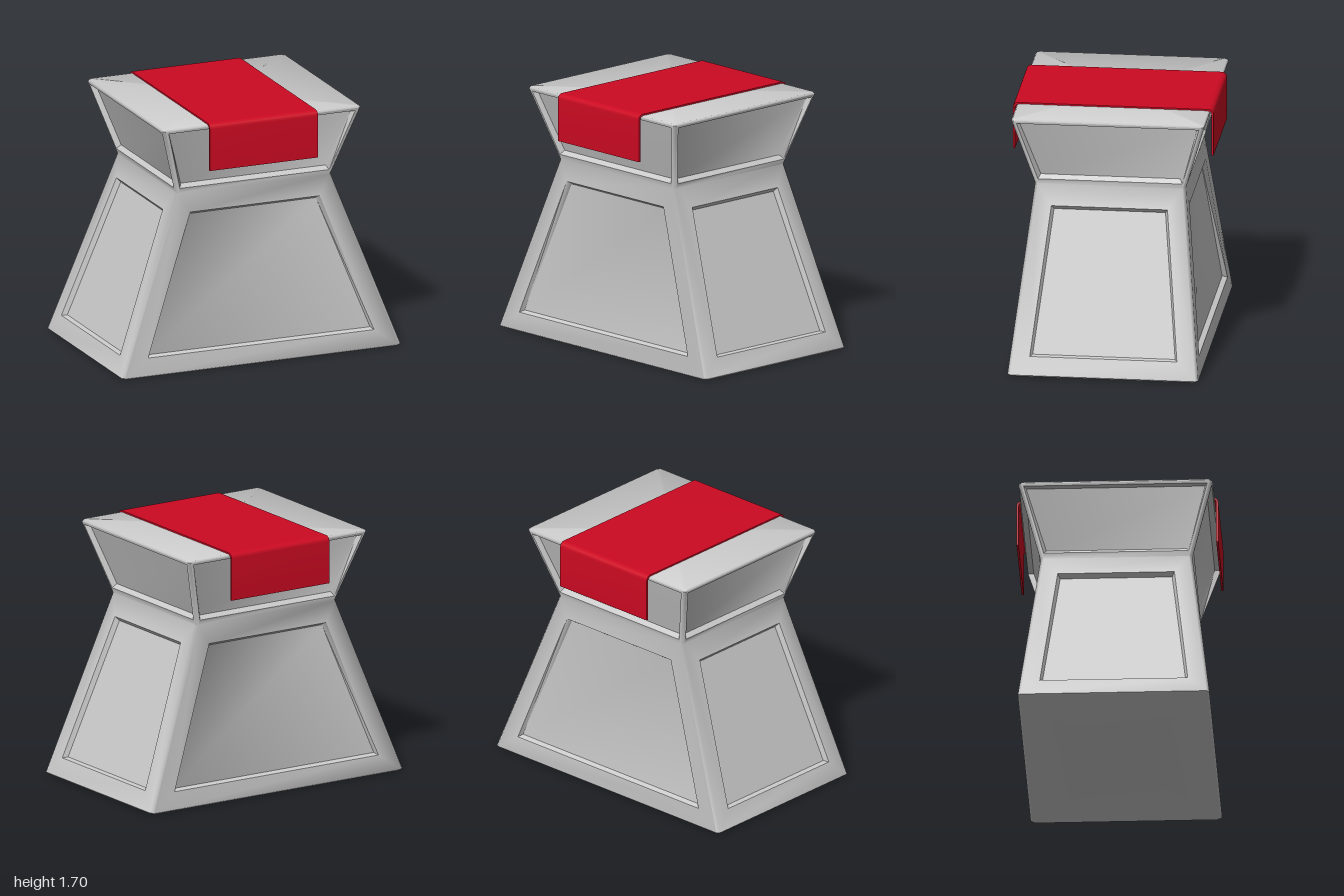
import * as THREE from 'three';
import { toCreasedNormals } from 'three/addons/utils/BufferGeometryUtils.js';

// Outline levels of the body: height, half width (x), half depth (z)
const LEVELS = [
  [0, 0.988, 0.618],
  [0.012, 1.0, 0.632],
  [1.2, 0.555, 0.5],
  [1.678, 0.71, 0.64],
  [1.69, 0.7, 0.63],
];
const CHAMFER = 0.018;

// Recessed panels per band: bottom y, top y, half widths on front/back and on the sides
const PANELS = {
  1: { y: [0.13, 1.065], front: [0.81, 0.465], side: [0.488, 0.385], depth: 0.032 },
  2: { y: [1.235, 1.66], front: [0.535, 0.668], side: [0.478, 0.605], depth: 0.035 },
};

function bodyGeometry() {
  const pos = [];
  const quad = (a, b, c, d) => {
    for (const p of [a, b, c, a, c, d]) pos.push(p.x, p.y, p.z);
  };
  // Point on wall k (0 front, 1 left, 2 back, 3 right)
  const wallPoint = (k, w, y, d) => {
    const a = k * Math.PI / 2, s = Math.sin(a), c = Math.cos(a);
    return new THREE.Vector3(s * d + c * w, y, c * d - s * w);
  };
  const size = (k, i) => {
    const [y, hx, hz] = LEVELS[i];
    return k % 2 ? { y, d: hx, w: hz - CHAMFER } : { y, d: hz, w: hx - CHAMFER };
  };
  const edge = (k, i, side) => {
    const { y, d, w } = size(k % 4, i);
    return wallPoint(k, side * w, y, d);
  };
  const band = (outer, inner) => {
    for (let j = 0; j < 4; j++) {
      const n = (j + 1) % 4;
      quad(outer[j], outer[n], inner[n], inner[j]);
    }
  };

  for (let i = 0; i < LEVELS.length - 1; i++) {
    for (let k = 0; k < 4; k++) {
      const outer = [edge(k, i, -1), edge(k, i, 1), edge(k, i + 1, 1), edge(k, i + 1, -1)];
      // Chamfered corner to the next wall
      quad(outer[1], edge(k + 1, i, -1), edge(k + 1, i + 1, -1), outer[2]);
      const panel = PANELS[i];
      if (!panel) {
        quad(...outer);
        continue;
      }
      // Frame, sloped step and sunken floor
      const lo = size(k, i), hi = size(k, i + 1);
      const slope = (hi.d - lo.d) / (hi.y - lo.y);
      const normal = wallPoint(k, 0, -slope, 1).normalize();
      const half = k % 2 ? panel.side : panel.front;
      const ring = (inset, depth) => [[0, -1], [0, 1], [1, 1], [1, -1]].map(([t, s]) => {
        const y = panel.y[t] + (t ? -inset : inset);
        return wallPoint(k, s * (half[t] - inset), y, lo.d + slope * (y - lo.y))
          .addScaledVector(normal, -depth);
      });
      const rim = ring(0, 0), floor = ring(0.016, panel.depth);
      band(outer, rim);
      band(rim, floor);
      quad(...floor);
    }
  }

  // Top and bottom caps
  for (const [i, up] of [[0, false], [LEVELS.length - 1, true]]) {
    const centre = new THREE.Vector3(0, LEVELS[i][0], 0);
    const loop = [];
    for (let k = 0; k < 4; k++) loop.push(edge(k, i, -1), edge(k, i, 1));
    loop.forEach((p, j) => {
      const q = loop[(j + 1) % loop.length];
      for (const v of up ? [centre, p, q] : [centre, q, p]) pos.push(v.x, v.y, v.z);
    });
  }

  const geo = new THREE.BufferGeometry();
  geo.setAttribute('position', new THREE.Float32BufferAttribute(pos, 3));
  return toCreasedNormals(geo, Math.PI / 3);
}

// Cloth strip folded over the top, extruded across x
function clothGeometry() {
  const half = 0.665, top = 1.7, hem = 1.38, r = 0.035, t = 0.014;
  const shape = new THREE.Shape();
  shape.moveTo(half, hem);
  shape.lineTo(half, top - r);
  shape.absarc(half - r, top - r, r, 0, Math.PI / 2, false);
  shape.lineTo(-half + r, top);
  shape.absarc(-half + r, top - r, r, Math.PI / 2, Math.PI, false);
  shape.lineTo(-half, hem);
  shape.lineTo(-half + t, hem);
  shape.lineTo(-half + t, top - r);
  shape.absarc(-half + r, top - r, r - t, Math.PI, Math.PI / 2, true);
  shape.lineTo(half - r, top - t);
  shape.absarc(half - r, top - r, r - t, Math.PI / 2, 0, true);
  shape.lineTo(half - t, hem);
  shape.closePath();
  const width = 0.776;
  const geo = new THREE.ExtrudeGeometry(shape, { depth: width, bevelEnabled: false, curveSegments: 8 });
  geo.translate(0, 0, -width / 2);
  geo.rotateY(Math.PI / 2);
  return toCreasedNormals(geo, Math.PI / 5);
}

export function createModel() {
  const model = new THREE.Group();
  model.name = 'pedestal';
  const addPart = (name, geometry, color) => {
    const mesh = new THREE.Mesh(geometry, new THREE.MeshStandardMaterial({ color }));
    mesh.name = name;
    model.add(mesh);
  };
  addPart('panelledBody', bodyGeometry(), 0xcccccc);
  addPart('clothRunner', clothGeometry(), 0xcc0a22);
  return model;
}
